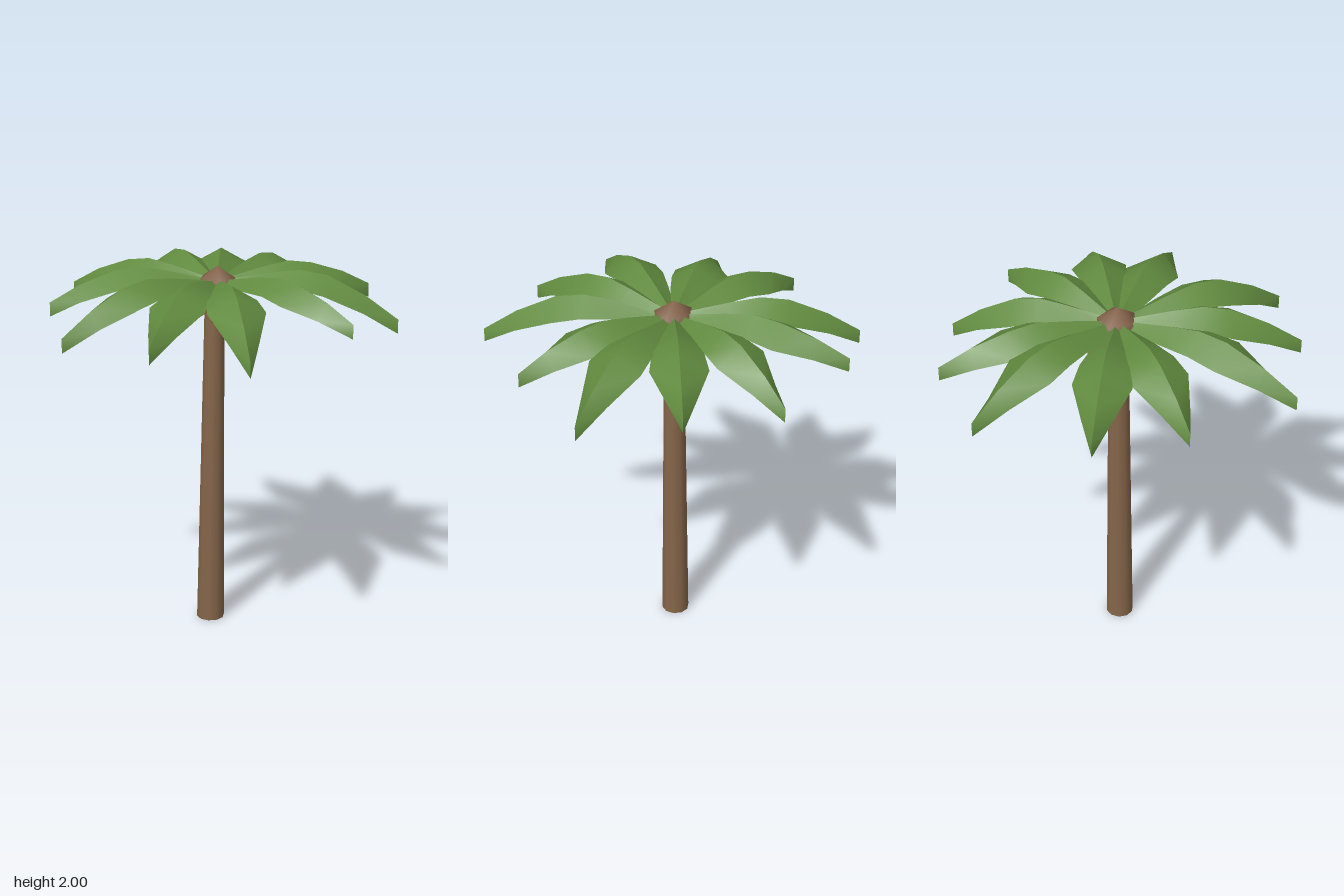
import * as THREE from 'three';
import { mergeVertices } from 'three/addons/utils/BufferGeometryUtils.js';

function material(name, color, side = THREE.FrontSide) {
  const m = new THREE.MeshStandardMaterial({ color, side });
  m.name = name;
  return m;
}

// Smooth-shaded icosahedron standing on one vertex
function ball(radius) {
  let g = new THREE.IcosahedronGeometry(radius, 0);
  g.deleteAttribute('uv');
  g.deleteAttribute('normal');
  g = mergeVertices(g, 1e-4);
  g.rotateZ(Math.atan(2 / (1 + Math.sqrt(5))));
  g.rotateY(Math.PI);
  g.computeVertexNormals();
  return g;
}

const CROWN = new THREE.Vector3(-0.045, 1.88, -0.02);

// Frond: two sloping halves meeting in a sharp ridge, arching out to the tip
function frondGeometry(tipX, tipY, tipZ) {
  const dx = tipX - CROWN.x, dz = tipZ - CROWN.z;
  const length = Math.hypot(dx, dz);
  const ux = dx / length, uz = dz / length;
  const ridgeTip = tipY + 0.075;
  // fraction of length, half width, ridge height, drop of the edge
  const sections = [
    [0.04, 0.03, 1.925, 0.03],
    [0.3, 0.095, 1.972, 0.06],
    [0.46, 0.128, 1.993, 0.075],
    [0.61, 0.146, 1.972, 0.08],
    [0.82, 0.073, (1.972 + ridgeTip) / 2 + 0.01, 0.08],
    [1, 0, ridgeTip, 0.075],
  ];
  const positions = [], index = [];
  for (const side of [1, -1]) {
    const start = positions.length / 3;
    sections.forEach(([t, w, y, drop], i) => {
      const x = CROWN.x + ux * t * length, z = CROWN.z + uz * t * length;
      positions.push(x, y, z, x - uz * w * side, y - drop, z + ux * w * side);
      if (i === 0) return;
      const a = start + 2 * (i - 1), b = a + 1, c = a + 2, d = a + 3;
      if (side > 0) index.push(a, b, c, b, d, c);
      else index.push(a, c, b, b, c, d);
    });
  }
  const g = new THREE.BufferGeometry();
  g.setAttribute('position', new THREE.Float32BufferAttribute(positions, 3));
  g.setIndex(index);
  g.computeVertexNormals();
  return g;
}

export function createModel() {
  const model = new THREE.Group();
  model.name = 'palmTree';
  const bark = material('bark', 0x86664a);
  const heart = material('crownBrown', 0x87654c);
  const leaf = material('leafGreen', 0x618a3f, THREE.DoubleSide);
  const nut = material('coconutTan', 0xa67a2d);

  const add = (name, geometry, mat, parent = model) => {
    const mesh = new THREE.Mesh(geometry, mat);
    mesh.name = name;
    parent.add(mesh);
    return mesh;
  };

  // Slightly leaning, tapered trunk
  const height = 1.86;
  const trunk = new THREE.CylinderGeometry(0.052, 0.076, height, 10);
  trunk.translate(0, height / 2, 0);
  const p = trunk.attributes.position;
  for (let i = 0; i < p.count; i++) {
    const t = p.getY(i) / height;
    p.setX(i, p.getX(i) - 0.086 + 0.028 * t);
    p.setZ(i, p.getZ(i) - 0.016);
  }
  add('trunk', trunk, bark);

  // Heart of the crown
  add('crown', ball(0.115), heart).position.copy(CROWN);

  // Fronds, each given by its tip
  const fronds = new THREE.Group();
  fronds.name = 'fronds';
  model.add(fronds);
  [
    [-0.143, 1.765, -0.945], [0.343, 1.70, -0.805], [0.724, 1.755, -0.444],
    [0.905, 1.68, 0.037], [0.70, 1.755, 0.464], [0.253, 1.675, 0.94],
    [-0.238, 1.71, 0.90], [-0.704, 1.70, 0.724], [-0.91, 1.73, 0.128],
    [-0.89, 1.735, -0.34], [-0.554, 1.70, -0.85],
  ].forEach((tip, i) => add(`frond${i + 1}`, frondGeometry(...tip), leaf, fronds));

  // Coconuts hanging around the trunk
  const coconuts = new THREE.Group();
  coconuts.name = 'coconuts';
  model.add(coconuts);
  [[0.066, -0.016], [-0.02, 0.1], [-0.153, -0.085], [-0.015, -0.13]].forEach(([x, z], i) => {
    add(`coconut${i + 1}`, ball(0.048), nut, coconuts).position.set(x, 1.745, z);
  });

  // Make the upper sides of the fronds face up
  fronds.children.forEach(({ geometry }) => {
    if (geometry.attributes.normal.getY(0) < 0) {
      geometry.index.array.reverse();
      geometry.computeVertexNormals();
    }
  });
  return model;
}
